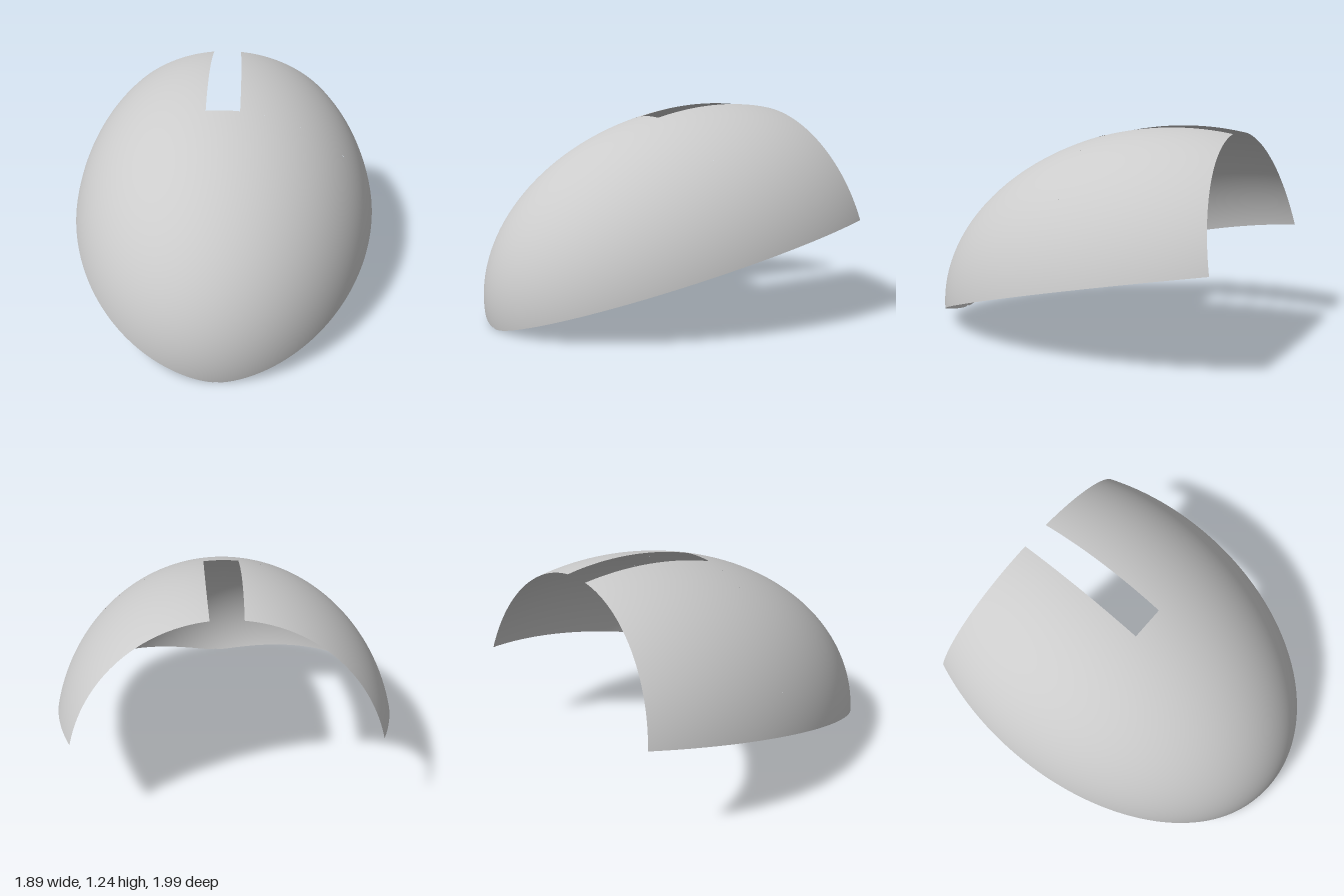
import * as THREE from 'three';

const LENGTH = 1.37, RADIUS = 0.967;        // half axes of the egg-shaped shell
const RAD = Math.PI / 180;
const NOSE = 1.5 * RAD, SLOT_START = 84.5 * RAD, BACK = 120 * RAD; // angles from the nose
const SLOT_RIGHT = 84 * RAD, SLOT_LEFT = 96 * RAD;                  // angles around the axis

// Angle of the lower rim around the axis, slightly rounded off at the nose
function rimAngle(t) {
  const r = RADIUS * Math.sin(t);
  return Math.asin(Math.min(1, Math.hypot(0.215 * r, 0.02) / r));
}

// Patch of the shell between two axial angles and two rim functions
function shellPatch(t0, t1, from, to, rows, cols) {
  const pos = [], nor = [], idx = [];
  const n = new THREE.Vector3();
  for (let i = 0; i <= rows; i++) {
    const t = t0 + (t1 - t0) * i / rows;
    const r = RADIUS * Math.sin(t), z = LENGTH * Math.cos(t);
    for (let j = 0; j <= cols; j++) {
      const a = from(t) + (to(t) - from(t)) * j / cols;
      const x = r * Math.cos(a), y = r * Math.sin(a);
      pos.push(x, y, z);
      n.set(x / RADIUS ** 2, y / RADIUS ** 2, z / LENGTH ** 2).normalize();
      nor.push(n.x, n.y, n.z);
      if (i < rows && j < cols) {
        const p = i * (cols + 1) + j, q = p + cols + 1;
        idx.push(p, q, p + 1, q, q + 1, p + 1);
      }
    }
  }
  const g = new THREE.BufferGeometry();
  g.setAttribute('position', new THREE.Float32BufferAttribute(pos, 3));
  g.setAttribute('normal', new THREE.Float32BufferAttribute(nor, 3));
  g.setIndex(idx);
  return g;
}

export function createModel() {
  const model = new THREE.Group();
  const shell = new THREE.Group();
  shell.name = 'shell';
  const material = new THREE.MeshStandardMaterial({ color: 0xcccccc, side: THREE.DoubleSide });
  const add = (name, geometry) => {
    const mesh = new THREE.Mesh(geometry, material);
    mesh.name = name;
    shell.add(mesh);
  };
  const leftRim = rimAngle, rightRim = t => Math.PI - rimAngle(t);

  // Closed front dome, then one back panel on each side of the slot
  add('frontDome', shellPatch(NOSE, SLOT_START, leftRim, rightRim, 64, 90));
  add('leftBackPanel', shellPatch(SLOT_START, BACK, leftRim, () => SLOT_RIGHT, 28, 42));
  add('rightBackPanel', shellPatch(SLOT_START, BACK, () => SLOT_LEFT, rightRim, 28, 42));

  // Tip the nose down
  shell.rotation.x = 11.8 * RAD;
  shell.position.set(0, 0.261, -0.355);
  model.add(shell);
  return model;
}
